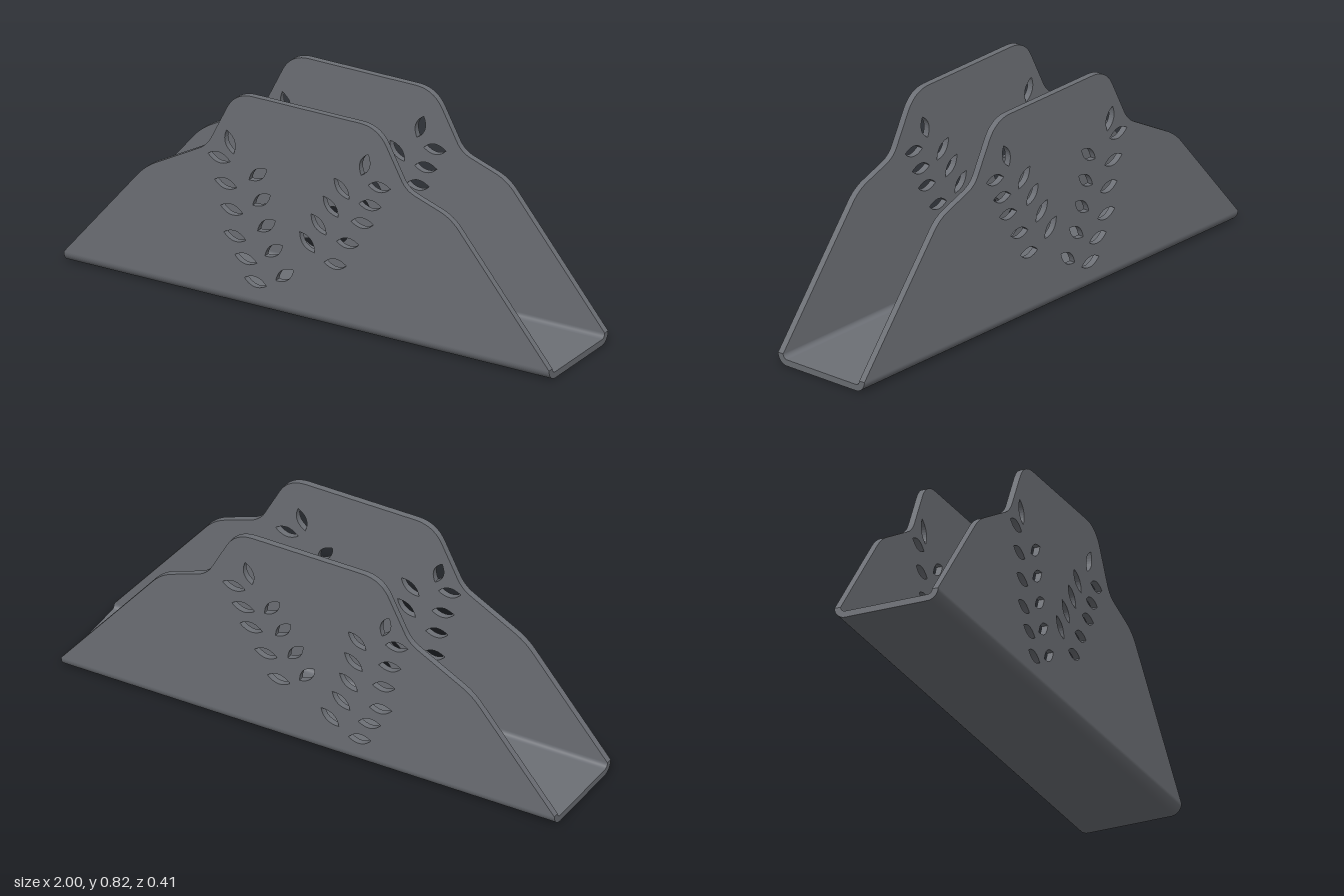
import * as THREE from 'three';

const HALF_DEPTH = 0.203, THICK = 0.024, BEND = 0.042;

// Side panel outline: [x, y, corner radius]
const OUTLINE = [
  [-1, BEND, 0], [1, BEND, 0], [0.595, 0.54, 0.05], [0.41, 0.605, 0.04], [0.295, 0.822, 0.075],
  [-0.295, 0.822, 0.075], [-0.41, 0.59, 0.04], [-0.665, 0.45, 0.05],
];

// Leaf cut-outs: [centre x, centre y] grouped by their tilt in degrees
const LEAVES = [
  [172, [[-0.36, 0.555], [-0.333, 0.46], [-0.308, 0.365], [-0.295, 0.265], [-0.25, 0.187], [-0.21, 0.107]]],
  [38, [[-0.2, 0.525], [-0.185, 0.43], [-0.165, 0.335], [-0.135, 0.245], [-0.09, 0.16]]],
  [108, [[-0.315, 0.625]]],
  [132, [[0.145, 0.55], [0.1, 0.47], [0.05, 0.39], [0.003, 0.31]]],
  [4, [[0.3, 0.592], [0.262, 0.513], [0.23, 0.437], [0.17, 0.345], [0.118, 0.252]]],
  [72, [[0.24, 0.665]]],
];

function roundedOutline(points) {
  const shape = new THREE.Shape();
  const n = points.length;
  points.forEach(([x, y, r], i) => {
    const p = new THREE.Vector2(x, y);
    const toward = ([qx, qy]) => new THREE.Vector2(qx, qy).sub(p).setLength(r).add(p);
    const a = r ? toward(points[(i + n - 1) % n]) : p;
    const b = r ? toward(points[(i + 1) % n]) : p;
    if (i === 0) shape.moveTo(a.x, a.y);
    else shape.lineTo(a.x, a.y);
    if (r) shape.quadraticCurveTo(x, y, b.x, b.y);
  });
  shape.closePath();
  return shape;
}

function leafHole(cx, cy, degrees) {
  const t = THREE.MathUtils.degToRad(degrees), len = 0.046, width = 0.04;
  const ux = Math.cos(t), uy = Math.sin(t);
  const hole = new THREE.Path();
  hole.moveTo(cx - ux * len, cy - uy * len);
  hole.quadraticCurveTo(cx + uy * width, cy - ux * width, cx + ux * len, cy + uy * len);
  hole.quadraticCurveTo(cx - uy * width, cy + ux * width, cx - ux * len, cy - uy * len);
  return hole;
}

// U-shaped cross-section of the folded base, drawn in (z, y)
function channelProfile() {
  const w = HALF_DEPTH, c = w - BEND, inner = BEND - THICK;
  const s = new THREE.Shape();
  s.moveTo(-w, BEND);
  s.absarc(-c, BEND, BEND, Math.PI, Math.PI * 1.5, false);
  s.absarc(c, BEND, BEND, Math.PI * 1.5, Math.PI * 2, false);
  s.lineTo(w - THICK, BEND);
  s.absarc(c, BEND, inner, 0, -Math.PI / 2, true);
  s.absarc(-c, BEND, inner, -Math.PI / 2, -Math.PI, true);
  s.closePath();
  return s;
}

export function createModel() {
  const group = new THREE.Group();
  group.name = 'napkinHolder';
  const material = new THREE.MeshStandardMaterial({ color: 0x6c6f75 });

  // Base tray with rounded lower bends, running along x
  const baseGeometry = new THREE.ExtrudeGeometry(channelProfile(), { depth: 2, bevelEnabled: false, curveSegments: 12 });
  baseGeometry.translate(0, 0, -1).rotateY(Math.PI / 2);
  const base = new THREE.Mesh(baseGeometry, material);
  base.name = 'base';
  group.add(base);

  // Two identical upright panels pierced by leafy sprigs
  const shape = roundedOutline(OUTLINE);
  for (const [tilt, centres] of LEAVES)
    for (const [x, y] of centres) shape.holes.push(leafHole(x, y, tilt));
  const panelGeometry = new THREE.ExtrudeGeometry(shape, { depth: THICK, bevelEnabled: false, curveSegments: 10 });
  for (const [name, z] of [['frontPanel', HALF_DEPTH - THICK], ['backPanel', -HALF_DEPTH]]) {
    const panel = new THREE.Mesh(panelGeometry, material);
    panel.name = name;
    panel.position.z = z;
    group.add(panel);
  }
  return group;
}
